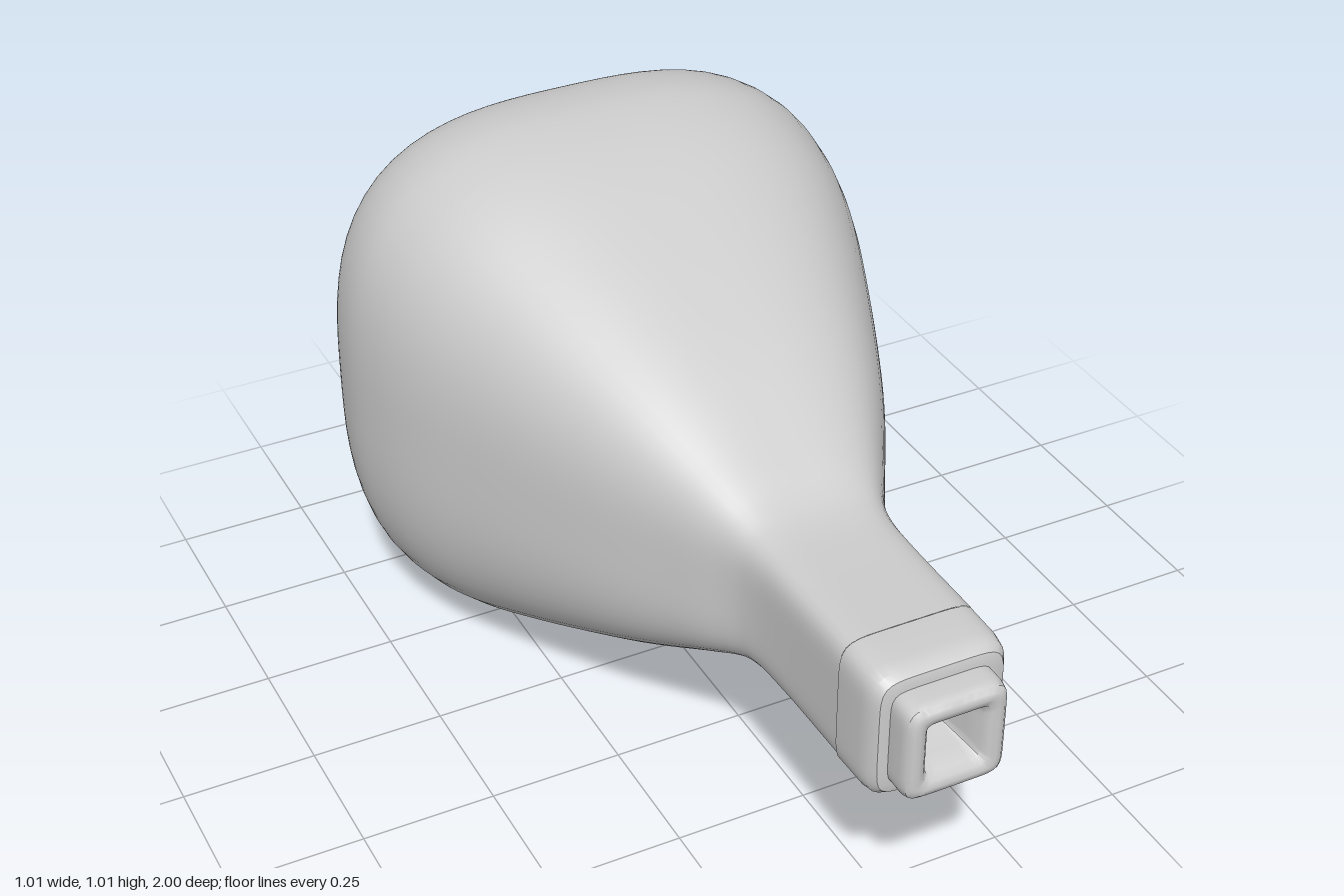
import * as THREE from 'three';
import { toCreasedNormals } from 'three/addons/utils/BufferGeometryUtils.js';

const CY = 0.51; // height of the long axis
const SIDES = 80;

// Skin over rounded-square rings, ordered along the axis: [z, half width, squareness, x offset]
function loft(rings, crease = 0.6) {
  const pos = [], index = [];
  for (const [z, h, n, ox = 0] of rings) {
    for (let j = 0; j < SIDES; j++) {
      const a = (j / SIDES) * Math.PI * 2, c = Math.cos(a), s = Math.sin(a);
      const r = h * Math.pow(Math.abs(c) ** n + Math.abs(s) ** n, -1 / n);
      pos.push(ox + r * c, CY + r * s, z);
    }
  }
  for (let i = 0; i < rings.length - 1; i++) {
    for (let j = 0; j < SIDES; j++) {
      const a = i * SIDES + j, b = i * SIDES + (j + 1) % SIDES;
      index.push(a, b, b + SIDES, a, b + SIDES, a + SIDES);
    }
  }
  const g = new THREE.BufferGeometry();
  g.setAttribute('position', new THREE.Float32BufferAttribute(pos, 3));
  g.setIndex(index);
  g.computeVertexNormals();
  return crease ? toCreasedNormals(g, crease) : g;
}

// Resample rings along a smooth curve
function smoothRings(rings, count) {
  const pts = rings.map(([z, h, n]) => new THREE.Vector3(z, h, n));
  const curve = new THREE.CatmullRomCurve3(pts, false, 'centripetal');
  return Array.from({ length: count + 1 }, (_, i) => {
    const p = curve.getPoint(i / count);
    // the neck sits slightly to one side
    const shift = -0.008 * THREE.MathUtils.smoothstep(p.x, 0.2, 0.6);
    return [p.x, p.y, p.z, shift];
  });
}

export function createModel() {
  const group = new THREE.Group();
  const material = new THREE.MeshStandardMaterial({ color: 0xcccccc });
  const add = (name, geometry) => {
    const mesh = new THREE.Mesh(geometry, material);
    mesh.name = name;
    group.add(mesh);
    return mesh;
  };

  // Bulging body running into the square neck
  add('body', loft(smoothRings([
    [-0.612, 0.001, 3], [-0.61, 0.07, 3], [-0.585, 0.18, 3], [-0.555, 0.32, 3], [-0.53, 0.41, 3],
    [-0.5, 0.46, 3], [-0.45, 0.49, 3], [-0.35, 0.506, 3], [-0.25, 0.495, 3], [-0.15, 0.468, 3],
    [0, 0.408, 3], [0.2, 0.316, 3.1], [0.4, 0.207, 3.6], [0.5, 0.152, 4.5], [0.55, 0.137, 5],
    [0.65, 0.129, 6], [0.83, 0.126, 7],
  ], 96), 0));

  // Collar at the end of the neck
  const X = -0.01;
  add('neckCollar', loft([
    [0.825, 0.122, 7, X], [0.832, 0.127, 7, X], [0.9, 0.126, 7, X], [0.925, 0.122, 7, X],
    [0.938, 0.113, 7, X], [0.942, 0.1, 7, X], [0.942, 0.08, 7, X],
  ]));

  // Square mouth with a tapering recess
  add('mouth', loft([
    [0.93, 0.093, 8, X - 0.003], [0.975, 0.093, 8, X - 0.003], [0.99, 0.09, 8, X - 0.003],
    [0.998, 0.082, 8, X - 0.003], [1, 0.072, 9, X - 0.003], [0.996, 0.06, 10, X - 0.004],
    [0.985, 0.051, 12, X - 0.004], [0.95, 0.044, 12, X - 0.004], [0.9, 0.028, 10, X - 0.004],
    [0.885, 0.0005, 8, X - 0.004],
  ]));

  // Rear stem and connector core
  add('rearStem', loft([[-0.67, 0.071, 6], [-0.625, 0.068, 6], [-0.595, 0.08, 5]]));
  add('connectorCore', loft([
    [-0.96, 0.08, 8], [-0.93, 0.085, 8], [-0.905, 0.088, 8], [-0.895, 0.098, 9], [-0.885, 0.101, 9],
    [-0.68, 0.101, 9], [-0.667, 0.11, 9], [-0.652, 0.11, 9], [-0.645, 0.103, 9], [-0.645, 0.05, 9],
  ]));

  // Raised panel on each of the four connector faces
  const w = 0.08, l = 0.1, r = 0.012;
  const shape = new THREE.Shape();
  shape.moveTo(-w + r, -l);
  shape.lineTo(w - r, -l);
  shape.quadraticCurveTo(w, -l, w, -l + r);
  shape.lineTo(w, l - r);
  shape.quadraticCurveTo(w, l, w - r, l);
  shape.lineTo(-w + r, l);
  shape.quadraticCurveTo(-w, l, -w, l - r);
  shape.lineTo(-w, -l + r);
  shape.quadraticCurveTo(-w, -l, -w + r, -l);
  const panel = toCreasedNormals(new THREE.ExtrudeGeometry(shape, {
    depth: 0.03, bevelEnabled: true, bevelSize: 0.008, bevelThickness: 0.008, bevelSegments: 3, curveSegments: 5,
  }), 0.6);
  panel.rotateX(-Math.PI / 2); // lies flat, facing up
  for (let i = 0; i < 4; i++) {
    const mesh = add('connectorPanel' + (i + 1), panel);
    mesh.rotation.z = (i * Math.PI) / 2;
    const d = i % 2 ? 0.083 : 0.078;
    mesh.position.set(-Math.sin(mesh.rotation.z) * d, CY + Math.cos(mesh.rotation.z) * d, -0.785);
  }

  // End cap with a small dimple
  add('rearCap', loft([
    [-0.965, 0.0005, 6], [-0.975, 0.015, 6], [-0.992, 0.02, 6], [-0.998, 0.03, 6], [-1, 0.072, 7],
    [-0.997, 0.084, 7], [-0.988, 0.092, 7], [-0.975, 0.095, 7], [-0.957, 0.094, 7],
    [-0.947, 0.089, 7], [-0.942, 0.08, 7], [-0.942, 0.06, 7],
  ]));

  return group;
}
